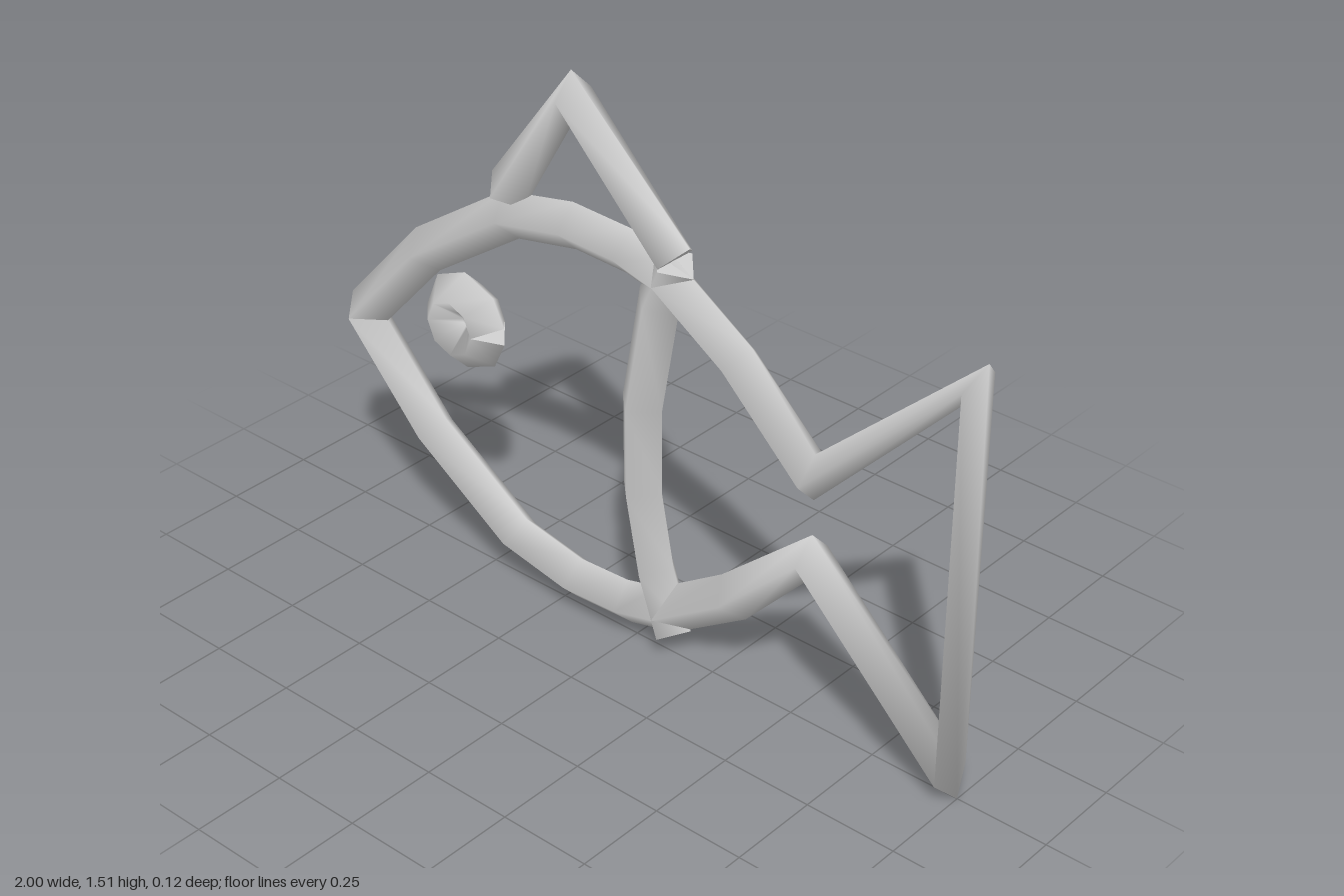
import * as THREE from 'three';

const RADIUS = 0.0625;
const SIDES = 4;

// Sweep a diamond section along a flat path; rings stand on the averaged direction,
// so the bars thin out at sharp corners.
function sweep(points) {
  const pts = points.map(([x, y]) => new THREE.Vector2(x, y));
  const pos = [], index = [];
  const direction = (i) => pts[i + 1].clone().sub(pts[i]).normalize();
  const last = pts.length - 1;
  const addRing = (i) => {
    const t = new THREE.Vector2();
    if (i > 0) t.add(direction(i - 1));
    if (i < last) t.add(direction(i));
    t.normalize();
    for (let k = 0; k < SIDES; k++) {
      const a = (k / SIDES) * Math.PI * 2;
      const n = Math.cos(a) * RADIUS;
      pos.push(pts[i].x - t.y * n, pts[i].y + t.x * n, Math.sin(a) * RADIUS);
    }
  };
  for (let i = 0; i <= last; i++) addRing(i);
  for (let i = 0; i < last; i++) {
    for (let k = 0; k < SIDES; k++) {
      const a = i * SIDES + k, b = i * SIDES + (k + 1) % SIDES;
      index.push(a, b, a + SIDES, b, b + SIDES, a + SIDES);
    }
  }
  // flat end caps with their own corners
  const s = pos.length / 3;
  addRing(0);
  addRing(last);
  const e = s + SIDES;
  index.push(s, s + 2, s + 1, s, s + 3, s + 2, e, e + 1, e + 2, e, e + 2, e + 3);

  const geometry = new THREE.BufferGeometry();
  geometry.setAttribute('position', new THREE.Float32BufferAttribute(pos, 3));
  geometry.setIndex(index);
  geometry.computeVertexNormals();
  return geometry;
}

export function createModel() {
  const group = new THREE.Group();
  group.name = 'fishOutline';
  const grey = new THREE.MeshStandardMaterial({ color: 0xcccccc });
  grey.name = 'light grey';
  const add = (name, points) => {
    const mesh = new THREE.Mesh(sweep(points), grey);
    mesh.name = name;
    group.add(mesh);
  };

  // Body and tail: upper half from the nose, then mirrored back along the belly
  const upper = [
    [-0.955, 0.598], [-0.71, 0.865], [-0.41, 1.065], [-0.2, 1.107], [-0.025, 1.1],
    [0.1, 1.068], [0.313, 0.93], [0.545, 0.708], [0.975, 1.13],
  ];
  const lower = upper.map(([x, y]) => [x, 1.194 - y]).reverse();
  add('bodyAndTail', [...upper, ...lower]);

  // Back fin
  add('backFin', [[-0.42, 1.13], [-0.2, 1.45], [0.116, 1.126]]);

  // Gill line
  add('gillLine', [[0.118, 0.075], [0.06, 0.24], [0.018, 0.455], [0.016, 0.7], [0.068, 1.0], [0.116, 1.118]]);

  // Eye: a ring whose two ends meet at the rear
  const eye = [];
  for (let i = 0; i <= 8; i++) {
    const a = (i / 8) * Math.PI * 2;
    eye.push([-0.58 + 0.076 * Math.cos(a), 0.706 + 0.076 * Math.sin(a)]);
  }
  add('eye', eye);

  return group;
}
